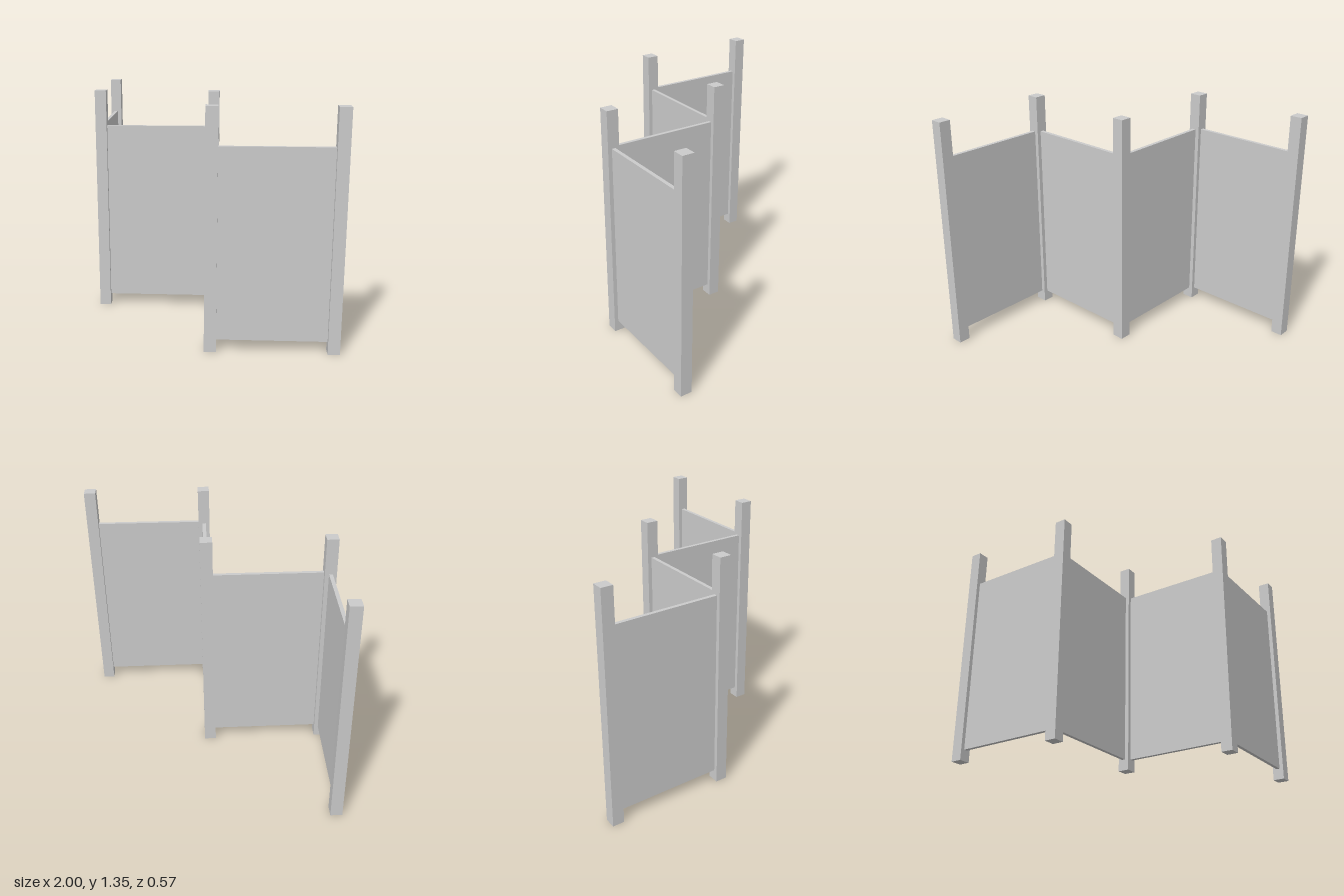
import * as THREE from 'three';

export function createModel() {
  const group = new THREE.Group();
  group.name = 'foldingScreen';
  const material = new THREE.MeshStandardMaterial({ color: 0xcccccc });

  const height = 1.347, postSide = 0.0665;
  const stepX = 0.4765, depth = 0.238;
  const panelBottom = 0.065, panelTop = 1.137, panelThickness = 0.021;

  // Post centres zigzag between back and front
  const posts = Array.from({ length: 5 }, (_, i) =>
    new THREE.Vector3((i - 2) * stepX, 0, i % 2 ? depth : -depth));

  function addBox(name, w, h, d, x, y, z, turn) {
    const mesh = new THREE.Mesh(new THREE.BoxGeometry(w, h, d), material);
    mesh.name = name;
    mesh.position.set(x, y, z);
    mesh.rotation.y = turn;
    group.add(mesh);
  }

  // Square posts, turned to line up with the panels
  posts.forEach((p, i) =>
    addBox(`post${i + 1}`, postSide, height, postSide, p.x, height / 2, p.z, Math.PI / 4));

  // Thin panels spanning from post face to post face
  for (let i = 0; i < posts.length - 1; i++) {
    const a = posts[i], b = posts[i + 1];
    const mid = a.clone().add(b).multiplyScalar(0.5);
    addBox(`panel${i + 1}`, a.distanceTo(b) - postSide, panelTop - panelBottom, panelThickness,
      mid.x, (panelTop + panelBottom) / 2, mid.z, -Math.atan2(b.z - a.z, b.x - a.x));
  }

  return group;
}
